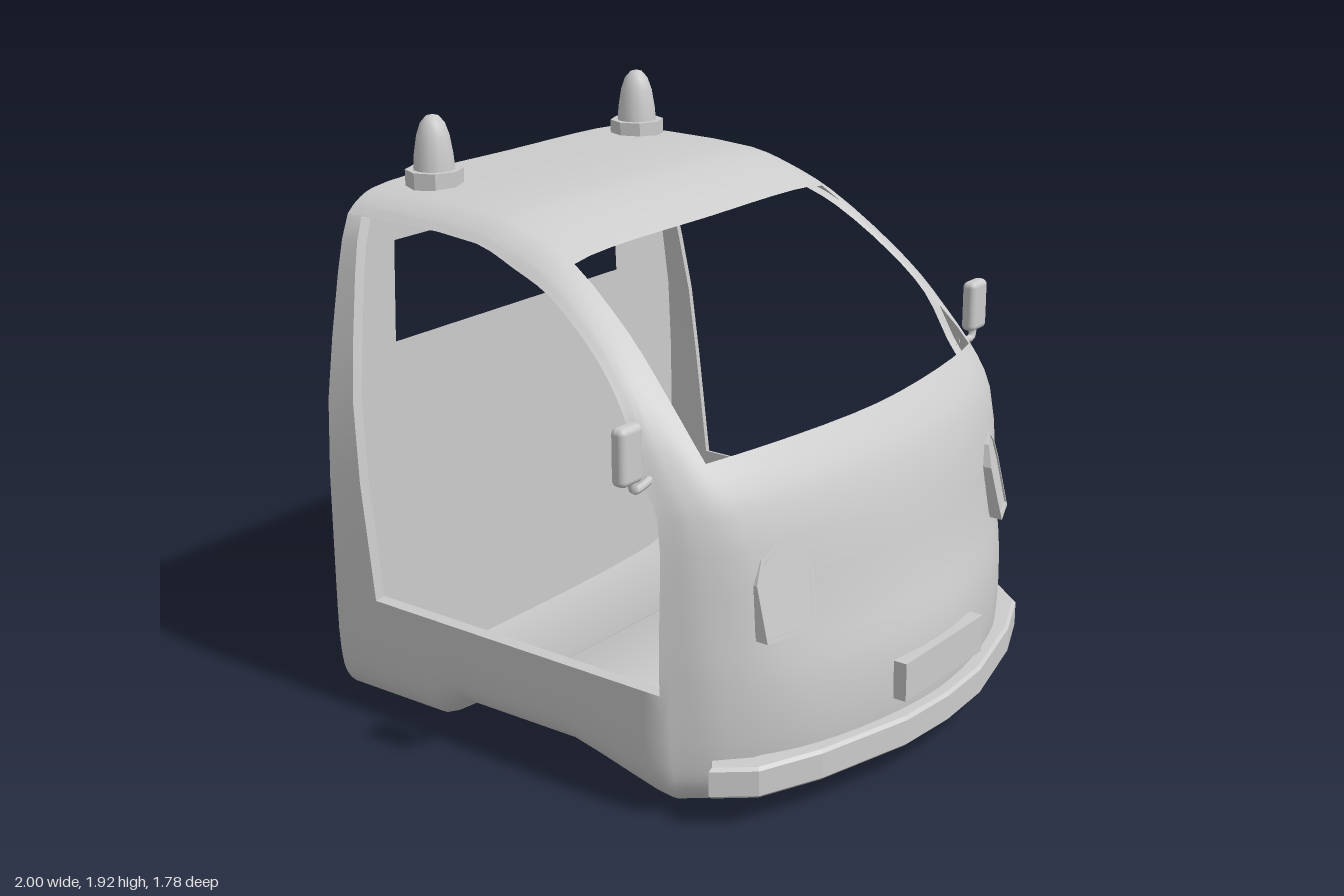
import * as THREE from 'three';
import { mergeGeometries, toCreasedNormals } from 'three/addons/utils/BufferGeometryUtils.js';
import { RoundedBoxGeometry } from 'three/addons/geometries/RoundedBoxGeometry.js';

const { lerp } = THREE.MathUtils;
const V = (x, y, z) => new THREE.Vector3(x, y, z);
const grey = new THREE.MeshStandardMaterial({ color: 0xcccccc });
const sheet = new THREE.MeshStandardMaterial({ color: 0xcccccc, side: THREE.DoubleSide });

// Skin from belly over nose to roof: centreline y, z, then door edge x, y, z
const ROWS = [
  [.003, .44, .3, .005, .44],
  [.005, .62, .6, .015, .44],
  [.035, .75, .8, .04, .44],
  [.1, .82, .86, .1, .44],
  [.2, .845, .882, .2, .44],
  [.41, .84, .887, .41, .44],
  [.6, .79, .886, .6, .44],
  [.95, .71, .87, .95, .425],
  [1.1, .6, .862, 1.06, .36],
  [1.26, .4, .835, 1.22, .28],
  [1.42, .2, .8, 1.35, .16],
  [1.59, -.05, .763, 1.5, -.05],
  [1.655, -.2, .752, 1.56, -.2],
  [1.69, -.35, .745, 1.61, -.35],
  [1.7, -.83, .745, 1.625, -.83],
  [1.7, -.89, .745, 1.625, -.89],
];
const SILL_ROW = 5, GLASS_BOTTOM = 8, GLASS_TOP = 11, DOOR_TOP = 14, SUB = 3, SEG = 6;

// Half row: centre, windscreen edge, rounded corner, door edge
function halfRow([cy, cz, ex, ey, ez]) {
  const mx = ex * Math.min(.85, .53 + .3 * cy);
  const mz = lerp(cz, ez, .2 + .22 * cy);
  return [V(0, cy, cz), V(mx, lerp(cy, ey, .18), mz),
    V(lerp(mx, ex, .68), lerp(cy, ey, .6), lerp(mz, ez, .5)), V(ex, ey, ez)];
}

// Points on a curve that passes exactly through every control point
const smooth = (pts, n) => new THREE.CatmullRomCurve3(pts).getPoints((pts.length - 1) * n);

// Surface through a grid of points, leaving out the cells where skip() is true
function loft(grid, skip = () => false) {
  const w = grid[0].length, index = [];
  for (let r = 0; r < grid.length - 1; r++) {
    for (let c = 0; c < w - 1; c++) {
      if (skip(r, c)) continue;
      const a = r * w + c;
      index.push(a, a + 1, a + w + 1, a, a + w + 1, a + w);
    }
  }
  const g = new THREE.BufferGeometry().setFromPoints(grid.flat());
  g.setIndex(index);
  return g;
}

function add(parent, name, geometry, material = grey) {
  const mesh = new THREE.Mesh(geometry, material);
  mesh.name = name;
  parent.add(mesh);
  return mesh;
}

const mirrorPoint = p => V(-p.x, p.y, p.z);

function buildBody(group) {
  // nose, windscreen pillars and roof
  const rows = ROWS.map(row => {
    const half = halfRow(row);
    return smooth([...half.slice(1).reverse().map(mirrorPoint), ...half], SEG);
  });
  const columns = rows[0].map((_, c) => smooth(rows.map(r => r[c]), SUB));
  const skin = columns[0].map((_, r) => columns.map(col => col[r]));
  const last = columns.length - 1;
  const front = loft(skin, (r, c) => r >= GLASS_BOTTOM * SUB && r < GLASS_TOP * SUB
    && c >= 2 * SEG && c < 4 * SEG);

  // sills and belly: one section swept along the underside
  const sillEnd = SILL_ROW * SUB;
  const section = [];
  for (let r = sillEnd; r > 0; r--) section.push(skin[r][0]);
  section.push(...skin[0]);
  for (let r = 1; r <= sillEnd; r++) section.push(skin[r][last]);
  const belly = [[-.89, 0], [-.5, .005], [-.44, .05], [-.38, .09], [.07, .095],
    [.18, .065], [.3, .03], [.38, .008], [.44, 0]];
  const lower = loft(belly.map(([z, lift]) =>
    section.map(p => V(p.x, p.y + lift * Math.max(0, 1 - p.y / .41), z))));

  // rear door pillars
  const widths = [[.887, .41], [.885, .8], [.872, 1.05], [.84, 1.25], [.8, 1.45], [.775, 1.55], [.745, 1.625]];
  const doorRear = y => -.71 - .12 * Math.pow((y - .41) / 1.215, .85);
  const pillar = widths.map(([x, y]) => [V(x, y, doorRear(y)), V(x, y, -.89)]);
  const pillars = [loft(pillar), loft(pillar.map(row => row.map(mirrorPoint).reverse()))];

  const shell = mergeGeometries([front, lower, ...pillars]);
  add(group, 'bodyShell', toCreasedNormals(shell, .7), sheet);

  // inward return around each door opening
  const loop = [];
  for (let r = sillEnd; r <= DOOR_TOP * SUB; r++) loop.push(skin[r][last]);
  for (const row of [...pillar].reverse()) loop.push(row[0]);
  loop.push(skin[sillEnd][last]);
  const inner = loop.map(p => V(p.x - .03, lerp(p.y, 1.02, .015), lerp(p.z, -.2, .015)));
  for (const [name, place] of [['leftDoorFrame', p => p], ['rightDoorFrame', mirrorPoint]]) {
    add(group, name, toCreasedNormals(loft([loop.map(place), inner.map(place)]), .6), sheet);
  }

  // rear wall with its window
  const sides = widths.slice(1, -1).map(([x, y]) => V(x, y, 0));
  const outline = [...section, ...sides, ...[...skin[skin.length - 1]].reverse(),
    ...[...sides].reverse().map(mirrorPoint)];
  const wall = new THREE.Shape(outline.map(p => new THREE.Vector2(p.x, p.y)));
  wall.holes.push(new THREE.Path([[-.565, 1.165], [-.55, 1.5], [.55, 1.5], [.565, 1.165]]
    .map(p => new THREE.Vector2(...p))));
  add(group, 'rearWall', new THREE.ShapeGeometry(wall).rotateY(Math.PI).translate(0, 0, -.89), sheet);
}

function buildBumper(group) {
  // plan of one half: outer edge to the tip, then back along the inner edge
  const half = [[.22, .865], [.55, .78], [.75, .695], [.835, .59], [.8, .565], [.71, .65], [.5, .73], [.2, .81]];
  const pts = [[0, .88], ...half, [0, .83], ...[...half].reverse().map(([x, z]) => [-x, z])];
  const plan = new THREE.Shape(pts.map(([x, z]) => new THREE.Vector2(x, -z)));
  const g = new THREE.ExtrudeGeometry(plan, { depth: .08, bevelSize: .01, bevelThickness: .01, bevelSegments: 1 });
  add(group, 'bumper', g.rotateX(-Math.PI / 2).translate(0, .115, 0));
  add(group, 'numberPlate', new THREE.BoxGeometry(.455, .125, .045)).position.set(0, .32, .848);
}

function buildHeadlight(side) {
  const light = new THREE.Group();
  light.name = side > 0 ? 'leftHeadlight' : 'rightHeadlight';
  const outline = [[.54, .58], [.695, .57], [.692, .74], [.665, .81], [.615, .85], [.55, .825], [.515, .76], [.528, .65]];
  const scaled = k => outline.map(([x, y]) =>
    new THREE.Vector2(side * lerp(.61, x, k), lerp(.71, y, k)));
  // lean the flat extrusion back to follow the nose
  const lean = (shape, front) => {
    const g = new THREE.ExtrudeGeometry(shape, { depth: .06, bevelEnabled: false });
    const p = g.attributes.position;
    for (let i = 0; i < p.count; i++) {
      const x = Math.abs(p.getX(i)), y = p.getY(i);
      p.setZ(i, p.getZ(i) - .06 + front - .45 * (x - .61) - .25 * (y - .71));
    }
    g.computeVertexNormals();
    return g;
  };
  const rim = new THREE.Shape(scaled(1));
  rim.holes.push(new THREE.Path(scaled(.9)));
  add(light, 'rim', lean(rim, .69));
  add(light, 'lens', lean(new THREE.Shape(scaled(.9)), .683));
  return light;
}

function buildMirror(side) {
  const mirror = new THREE.Group();
  mirror.name = side > 0 ? 'leftMirror' : 'rightMirror';
  add(mirror, 'housing', new RoundedBoxGeometry(.097, .175, .052, 3, .02)).position.set(side * .9515, 1.16, .385);
  const path = new THREE.CatmullRomCurve3([V(side * .845, 1.055, .38), V(side * .89, 1.047, .385),
    V(side * .93, 1.05, .39), V(side * .94, 1.09, .39)]);
  add(mirror, 'arm', new THREE.TubeGeometry(path, 10, .013, 8));
  return mirror;
}

function buildBeacon(side) {
  const beacon = new THREE.Group();
  beacon.name = side > 0 ? 'leftBeacon' : 'rightBeacon';
  const base = toCreasedNormals(new THREE.CylinderGeometry(.092, .092, .075, 8), .5);
  add(beacon, 'base', base).position.y = 1.708;
  const profile = [[.068, 1.74], [.064, 1.79], [.054, 1.85], [.04, 1.89], [.02, 1.913], [0, 1.918]];
  add(beacon, 'dome', new THREE.LatheGeometry(profile.map(p => new THREE.Vector2(...p)), 12));
  beacon.position.set(side * .508, 0, -.74);
  return beacon;
}

export function createModel() {
  const cab = new THREE.Group();
  cab.name = 'vanCab';
  buildBody(cab);
  buildBumper(cab);
  for (const side of [1, -1]) cab.add(buildHeadlight(side), buildMirror(side), buildBeacon(side));
  return cab;
}
